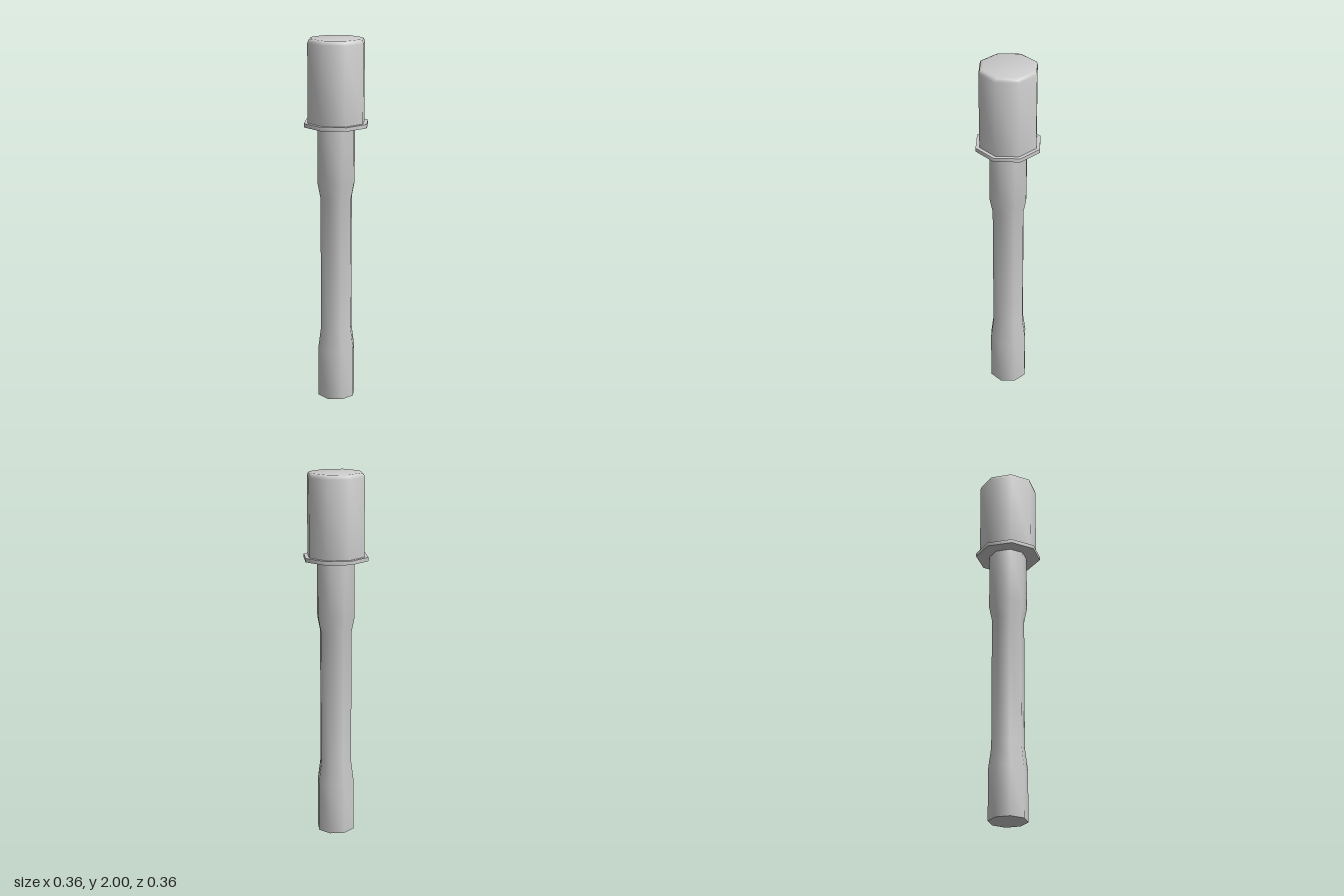
import * as THREE from 'three';
import { toCreasedNormals } from 'three/addons/utils/BufferGeometryUtils.js';

const SIDES = 8;

// Eight-sided turned part from [radius, height] pairs, listed bottom to top;
// smooth around its sides, sharp at its ends.
function turned(name, profile, material) {
  const points = profile.map(([r, y]) => new THREE.Vector2(r, y));
  const geometry = toCreasedNormals(new THREE.LatheGeometry(points, SIDES), THREE.MathUtils.degToRad(50));
  const mesh = new THREE.Mesh(geometry, material);
  mesh.name = name;
  return mesh;
}

export function createModel() {
  const model = new THREE.Group();
  model.name = 'stickWithCylindricalHead';
  const grey = new THREE.MeshStandardMaterial({ color: 0xcccccc });

  // Handle: thicker at both ends, narrow grip between
  model.add(turned('handle', [
    [0, 0], [0.105, 0], [0.105, 0.28], [0.089, 0.4],
    [0.089, 1.14], [0.105, 1.22], [0.105, 1.54], [0, 1.54],
  ], grey));

  // Thin collar under the head
  model.add(turned('collar', [
    [0, 1.535], [0.18, 1.535], [0.18, 1.556], [0, 1.556],
  ], grey));

  // Head with a softened top rim
  model.add(turned('head', [
    [0, 1.55], [0.159, 1.55], [0.159, 1.978], [0.153, 1.994], [0.138, 2], [0, 2],
  ], grey));

  return model;
}
